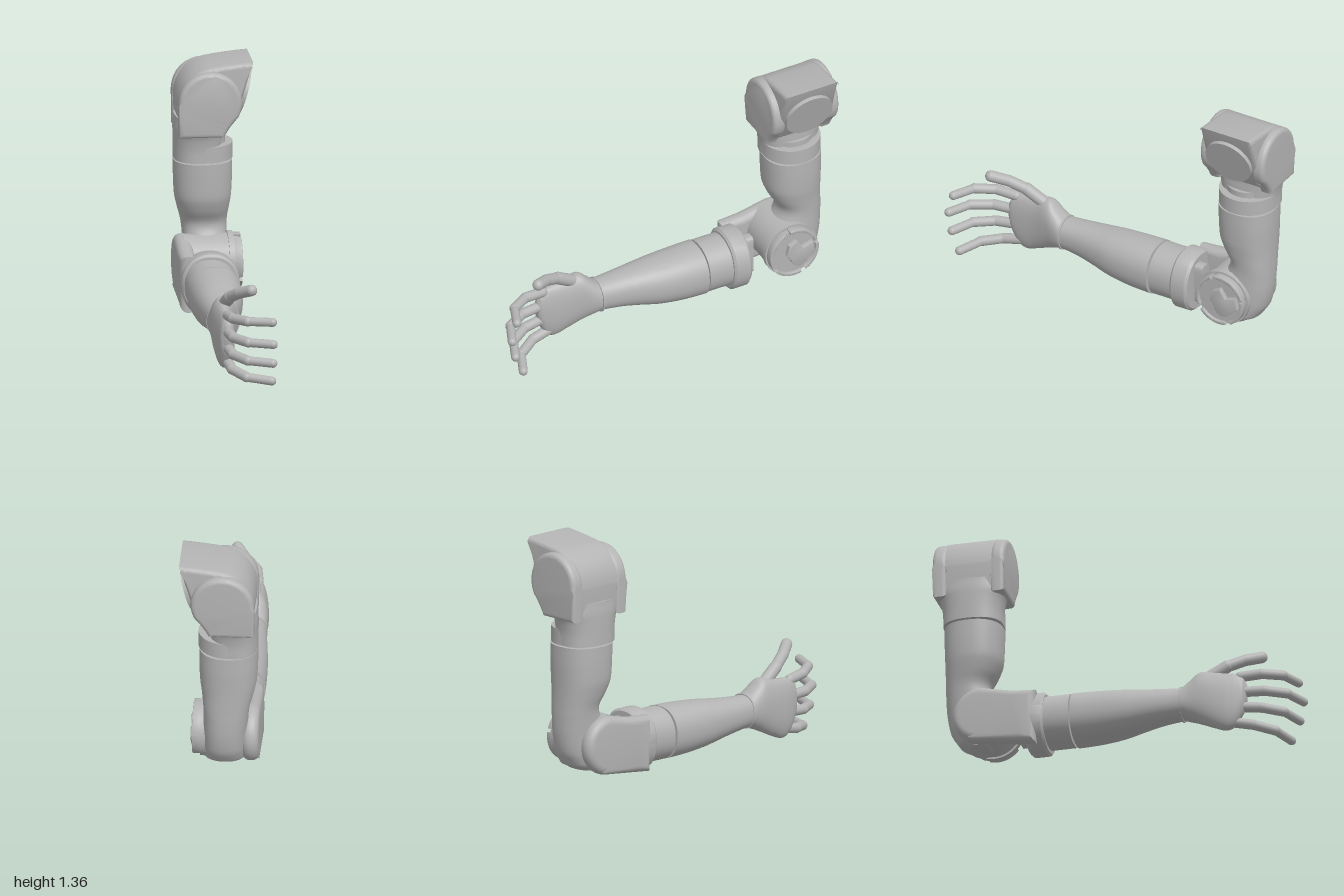
import * as THREE from 'three';
import { toCreasedNormals } from 'three/addons/utils/BufferGeometryUtils.js';

const shell = new THREE.MeshStandardMaterial({ color: 0xb4b4b4 });
shell.name = 'grey shell';

// Closed loft. Each section: [position, aMin, aMax, bMin, bMax].
// Axis z uses a = x, b = y; axis y uses a = z, b = x.
function loft(axis, sections, power = 2, seg = 48) {
  const pos = [], idx = [];
  const put = (a, b, u) => (axis === 'z' ? pos.push(a, b, u) : pos.push(b, u, a));
  const bend = (v) => Math.sign(v) * Math.abs(v) ** (2 / power);
  const ring = ([u, a0, a1, b0, b1]) => {
    const first = pos.length / 3;
    for (let i = 0; i < seg; i++) {
      const t = (i / seg) * Math.PI * 2;
      put((a0 + a1) / 2 + (a1 - a0) / 2 * bend(Math.cos(t)), (b0 + b1) / 2 + (b1 - b0) / 2 * bend(Math.sin(t)), u);
    }
    return first;
  };
  const rings = sections.map(ring);
  for (let r = 0; r + 1 < rings.length; r++) {
    for (let i = 0; i < seg; i++) {
      const j = (i + 1) % seg, p = rings[r], q = rings[r + 1];
      idx.push(p + i, p + j, q + j, p + i, q + j, q + i);
    }
  }
  [sections[0], sections[sections.length - 1]].forEach((s, end) => {
    const f = ring(s);
    for (let i = 1; i + 1 < seg; i++) end ? idx.push(f, f + i, f + i + 1) : idx.push(f, f + i + 1, f + i);
  });
  const g = new THREE.BufferGeometry();
  g.setAttribute('position', new THREE.Float32BufferAttribute(pos, 3));
  g.setIndex(idx);
  return toCreasedNormals(g, 0.7);
}

// Smooth the loft by interpolating its few sections
function smoothSections(sections, steps = 5) {
  const out = [];
  const n = sections.length;
  for (let i = 0; i < n - 1; i++) {
    const [p, q, r, s] = [-1, 0, 1, 2].map((k) => sections[Math.min(n - 1, Math.max(0, i + k))]);
    for (let k = 0; k < steps; k++) {
      const t = k / steps;
      out.push(q.map((v, c) => c === 0 ? v + (r[0] - v) * t
        : v + 0.5 * t * (r[c] - p[c] + t * (2 * p[c] - 5 * v + 4 * r[c] - s[c] + t * (3 * (v - r[c]) + s[c] - p[c])))));
    }
  }
  out.push(sections[n - 1]);
  return out;
}

// Bevelled extrusion from depth d0 to d1, keeping the outline size
function slab(shape, d0, d1, bevel) {
  const g = new THREE.ExtrudeGeometry(shape, {
    depth: d1 - d0 - 2 * bevel, curveSegments: 32, bevelEnabled: bevel > 0,
    bevelThickness: bevel, bevelSize: bevel, bevelOffset: -bevel, bevelSegments: 5,
  });
  g.translate(0, 0, d0 + bevel);
  return toCreasedNormals(g, 0.6);
}

export function createModel() {
  const model = new THREE.Group();
  model.name = 'mechanicalArm';
  const add = (name, geometry, parent = model) => {
    const m = new THREE.Mesh(geometry, shell);
    m.name = name;
    parent.add(m);
    return m;
  };
  const discX = (name, r, x0, x1, y, z) =>
    add(name, new THREE.CylinderGeometry(r, r, x1 - x0, 48).rotateZ(Math.PI / 2).translate((x0 + x1) / 2, y, z));
  const discY = (name, r, y0, y1, x, z) =>
    add(name, new THREE.CylinderGeometry(r, r, y1 - y0, 48).translate(x, (y0 + y1) / 2, z));

  // Shoulder block and its slanted mounting plate
  const block = new THREE.Shape();
  block.moveTo(-0.19, 1.0);
  block.lineTo(-0.198, 1.13);
  block.bezierCurveTo(-0.19, 1.24, -0.13, 1.31, -0.03, 1.333);
  block.quadraticCurveTo(0.08, 1.352, 0.205, 1.36);
  block.lineTo(0.107, 1.035);
  block.quadraticCurveTo(0.08, 1.0, 0.03, 0.985);
  add('shoulderBlock', slab(block, -0.96, -0.642, 0.025));
  const plate = add('shoulderPlate', new THREE.CylinderGeometry(0.138, 0.138, 0.04, 48));
  plate.quaternion.setFromUnitVectors(new THREE.Vector3(0, 1, 0), new THREE.Vector3(0.96, -0.284, 0).normalize());
  plate.position.set(0.15, 1.172, -0.8);

  // Shoulder cheeks on both sides of the block
  const cheek = new THREE.Shape();
  cheek.moveTo(-0.2, 0.96);
  cheek.lineTo(-0.2, 1.15);
  cheek.absarc(-0.03, 1.148, 0.17, Math.PI, -0.5, true);
  cheek.quadraticCurveTo(0.06, 1.0, 0.045, 0.96);
  add('frontCheek', slab(cheek, -0.68, -0.602, 0.025));
  add('rearCheek', slab(cheek, -1, -0.92, 0.025));

  // Yoke carrying the cheeks
  add('shoulderYoke', loft('y', smoothSections([
    [0.812, -0.962, -0.638, -0.211, 0.05], [0.88, -0.963, -0.637, -0.211, 0.05],
    [0.94, -0.973, -0.627, -0.211, 0.05], [0.99, -0.99, -0.61, -0.21, 0.05],
    [1.05, -0.99, -0.61, -0.204, 0.06]]), 2.4));
  add('yokeCollar', loft('y', [[0.812, -0.962, -0.638, -0.211, 0.11], [0.898, -0.962, -0.638, -0.211, 0.11]]));
  discY('yokeStub', 0.125, 0.89, 0.93, -0.055, -0.8);
  discY('upperArmNeck', 0.125, 0.78, 0.83, -0.05, -0.8);

  // Upper arm flowing into the elbow
  add('upperArm', loft('y', smoothSections([
    [0.1, -0.83, -0.72, -0.12, 0.06], [0.13, -0.885, -0.67, -0.14, 0.08], [0.2, -0.93, -0.63, -0.15, 0.085],
    [0.3, -0.951, -0.64, -0.155, 0.085], [0.4, -0.956, -0.7, -0.16, 0.08], [0.46, -0.956, -0.715, -0.168, 0.082],
    [0.53, -0.956, -0.677, -0.187, 0.09], [0.6, -0.957, -0.65, -0.203, 0.1],
    [0.7, -0.96, -0.643, -0.209, 0.105], [0.802, -0.96, -0.64, -0.21, 0.105]]), 2.3));

  // Elbow joint: barrel, cap, broken rim and centre latch
  const ey = 0.253, ez = -0.725;
  discX('elbowBarrel', 0.147, -0.17, 0.085, ey, ez);
  discX('elbowFlange', 0.157, 0.07, 0.1, ey, ez);
  discX('elbowCap', 0.138, 0.09, 0.126, ey, ez);
  [[0.3, 1.75], [1.95, 3.6], [3.8, 5.0], [5.2, 6.45]].forEach(([a, b], i) => {
    const arc = new THREE.Shape();
    arc.absarc(-ez, ey, 0.147, a, b, false);
    arc.absarc(-ez, ey, 0.128, b, a, true);
    add('elbowRim' + (i + 1), slab(arc, 0.095, 0.142, 0.003).rotateY(Math.PI / 2));
  });
  const latch = new THREE.Shape();
  latch.moveTo(0.675, 0.25);
  latch.lineTo(0.70, 0.215);
  latch.bezierCurveTo(0.72, 0.15, 0.78, 0.16, 0.8, 0.2);
  latch.lineTo(0.845, 0.235);
  latch.lineTo(0.83, 0.3);
  latch.lineTo(0.77, 0.28);
  latch.lineTo(0.735, 0.335);
  latch.lineTo(0.69, 0.31);
  add('elbowLatch', slab(latch, 0.11, 0.152, 0.004).rotateY(Math.PI / 2));

  // Flank plate linking the elbow to the forearm
  const flank = new THREE.Shape();
  flank.moveTo(0.43, 0.045);
  flank.lineTo(0.52, 0.055);
  flank.lineTo(0.75, 0.082);
  flank.absarc(0.73, 0.24, 0.16, -1.45, 1.6, false);
  flank.lineTo(0.56, 0.365);
  flank.lineTo(0.43, 0.355);
  add('flankPlate', slab(flank, -0.215, -0.125, 0.04).rotateY(Math.PI / 2));

  // Forearm rings and stub
  add('forearmStub', loft('z', [[-0.545, -0.06, 0.012, 0.1, 0.33], [-0.46, -0.06, 0.012, 0.1, 0.33]], 6));
  add('forearmRing', loft('z', [
    [-0.495, -0.2, 0.088, 0.045, 0.362], [-0.48, -0.213, 0.101, 0.031, 0.374],
    [-0.4, -0.213, 0.101, 0.031, 0.374], [-0.388, -0.203, 0.09, 0.043, 0.362]], 2.2));
  add('forearmCuff', loft('z', [[-0.4, -0.2, 0.08, 0.06, 0.347], [-0.248, -0.2, 0.08, 0.06, 0.347]], 2.2));
  add('forearmNeck', loft('z', [[-0.27, -0.17, 0.05, 0.09, 0.31], [-0.21, -0.17, 0.05, 0.09, 0.31]]));
  add('forearm', loft('z', smoothSections([
    [-0.238, -0.205, 0.087, 0.06, 0.347], [-0.1, -0.203, 0.08, 0.064, 0.343], [0.03, -0.198, 0.062, 0.077, 0.334],
    [0.15, -0.188, 0.033, 0.1, 0.32], [0.25, -0.178, 0.012, 0.117, 0.31], [0.357, -0.168, 0, 0.128, 0.304]]), 2.3));
  add('wristCollar', loft('z', [[0.353, -0.172, 0.008, 0.122, 0.311], [0.362, -0.172, 0.008, 0.122, 0.311]], 2.3));

  // Hand
  const hand = new THREE.Group();
  hand.name = 'hand';
  model.add(hand);
  add('palm', loft('z', smoothSections([
    [0.36, -0.17, 0, 0.128, 0.305], [0.4, -0.168, -0.006, 0.113, 0.335], [0.46, -0.168, -0.022, 0.087, 0.383],
    [0.54, -0.165, -0.042, 0.05, 0.37], [0.61, -0.158, -0.052, 0.027, 0.358], [0.66, -0.148, -0.058, 0.05, 0.35],
    [0.7, -0.136, -0.064, 0.12, 0.325], [0.715, -0.118, -0.075, 0.18, 0.29]]), 2.3), hand);

  // Each digit is a chain of rounded phalanges
  const digit = (name, points, radii) => {
    const group = new THREE.Group();
    group.name = name;
    hand.add(group);
    const p = points.map((a) => new THREE.Vector3(...a));
    for (let i = 0; i + 1 < p.length; i++) {
      const dir = p[i + 1].clone().sub(p[i]);
      const m = add('phalanx' + (i + 1), new THREE.CapsuleGeometry(radii[i], dir.length(), 8, 20), group);
      m.position.copy(p[i]).addScaledVector(dir, 0.5);
      m.quaternion.setFromUnitVectors(new THREE.Vector3(0, 1, 0), dir.normalize());
    }
  };
  // [name, base y, tip y, base z, tip z]
  [['indexFinger', 0.335, 0.362, 0.68, 0.947], ['middleFinger', 0.245, 0.247, 0.69, 0.975],
    ['ringFinger', 0.157, 0.137, 0.68, 0.955], ['littleFinger', 0.075, 0.026, 0.63, 0.908]].forEach(([name, y0, y1, z0, z1]) => {
    const at = (x, t, s) => [x, y0 + (y1 - y0) * t, z0 + (z1 - z0) * s];
    digit(name, [at(-0.098, 0, 0), at(-0.082, 0.45, 0.42), at(-0.015, 0.8, 0.8), at(0.112, 1, 1)], [0.028, 0.027, 0.024]);
  });
  digit('thumb', [[-0.095, 0.345, 0.49], [-0.075, 0.415, 0.6], [-0.035, 0.46, 0.69], [0.02, 0.493, 0.768]], [0.034, 0.031, 0.031]);

  return model;
}
